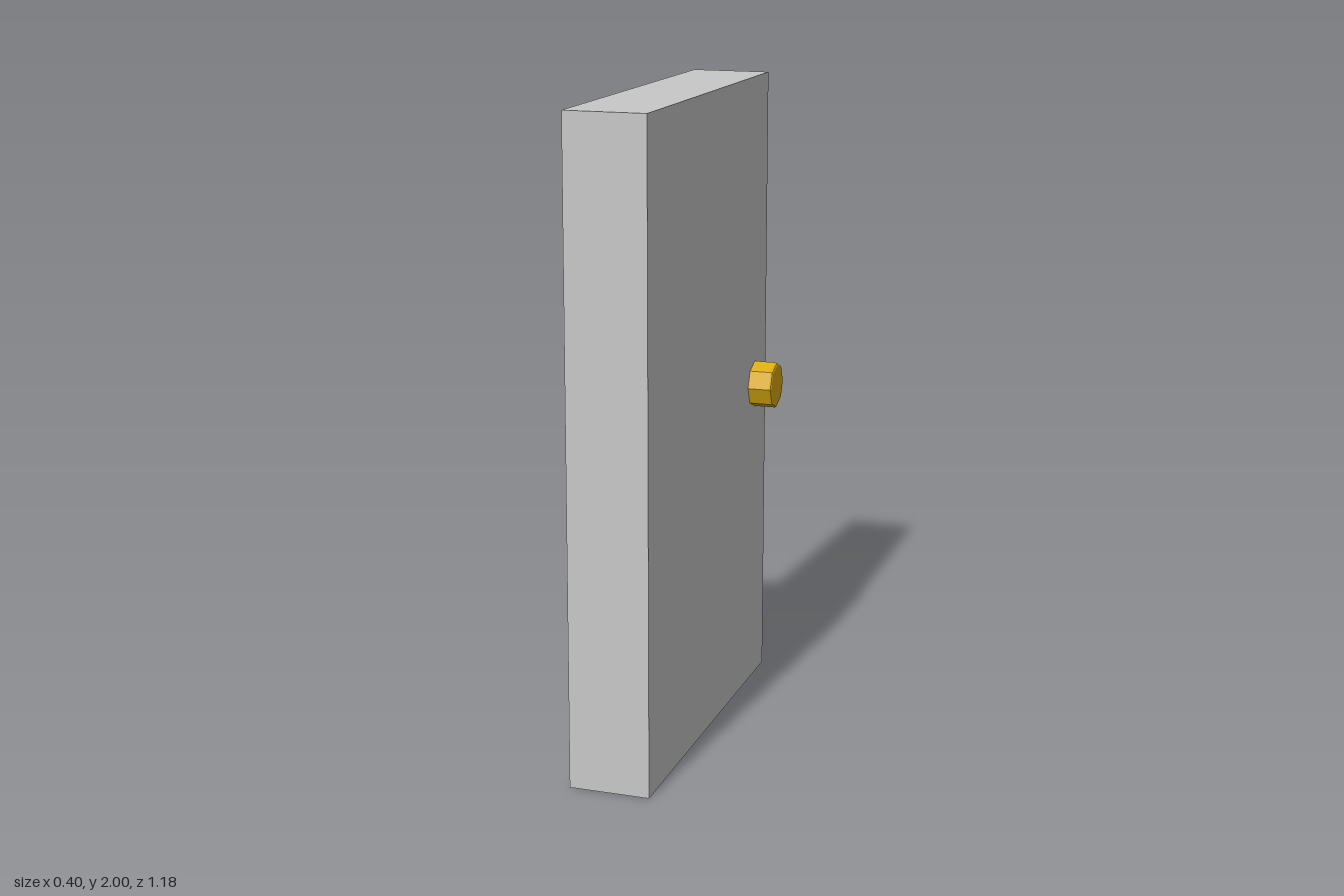
import * as THREE from 'three';

export function createModel() {
  const group = new THREE.Group();
  const panelGrey = new THREE.MeshStandardMaterial({ color: 0xc8c8c8, flatShading: true });
  panelGrey.name = 'panelGrey';
  const brass = new THREE.MeshStandardMaterial({ color: 0xdaaa0e, flatShading: true });
  brass.name = 'brass';

  // Door slab
  const panel = new THREE.Mesh(new THREE.BoxGeometry(0.248, 2, 1.18), panelGrey);
  panel.name = 'doorPanel';
  panel.position.y = 1;
  group.add(panel);

  // Eight-sided knob with a softened rim, one on each face
  const profile = [[0, 0.1], [0.075, 0.1], [0.075, 0.192], [0.0727, 0.1977], [0.067, 0.2], [0, 0.2]]
    .map(([r, h]) => new THREE.Vector2(r, h));
  const knobGeometry = new THREE.LatheGeometry(profile, 8);
  for (const [name, side] of [['leftKnob', 1], ['rightKnob', -1]]) {
    const knob = new THREE.Mesh(knobGeometry, brass);
    knob.name = name;
    knob.rotation.z = -side * Math.PI / 2;
    knob.position.set(0, 1.006, -0.467);
    group.add(knob);
  }
  return group;
}
